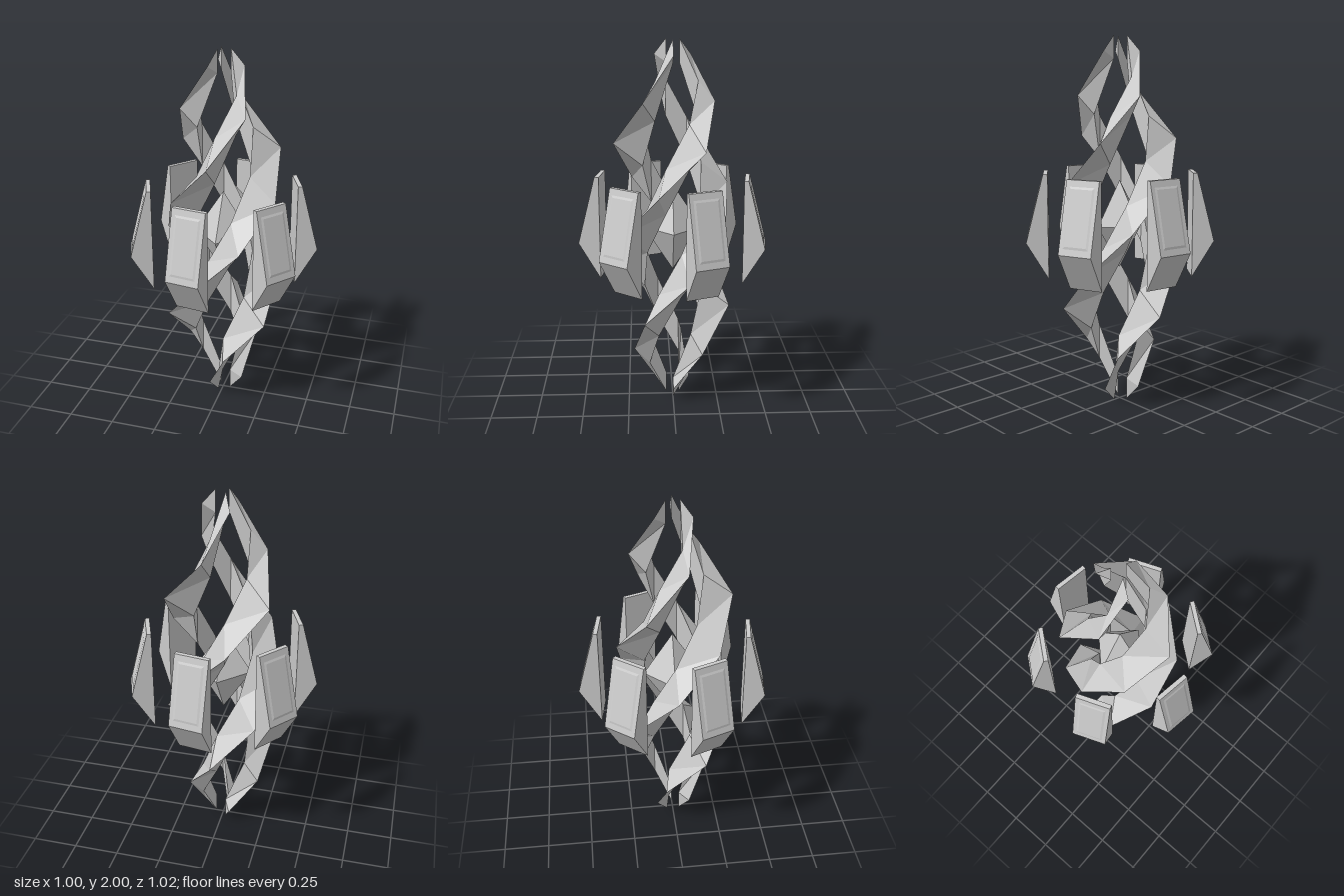
import * as THREE from 'three';

const rad = THREE.MathUtils.degToRad;

export function createModel() {
  const model = new THREE.Group();
  const mat = new THREE.MeshStandardMaterial({ color: 0xcccccc, flatShading: true });
  const add = (parent, name, geo) => {
    const mesh = new THREE.Mesh(geo, mat);
    mesh.name = name;
    parent.add(mesh);
    return mesh;
  };

  // Spiral strands: triangular sections, indexed by distance from mid height
  const outer = [0.315, 0.312, 0.315, 0.223, 0.11];
  const inner = [0.16, 0.16, 0.16, 0.135, 0.04];
  const toTip = [0.12, 0.12, 0.12, 0.1, 0.08];
  const toMid = [0.12, 0.12, 0.12, 0.1, 0.04];
  function strandGeometry() {
    const pos = [], idx = [];
    for (let k = -4; k <= 4; k++) {
      const m = Math.abs(k), a = rad(180 - 45 * k), y = 1 + 0.23 * k;
      const [up, down] = k < 0 ? [toMid[m], toTip[m]] : [toTip[m], toMid[m]];
      for (const [r, h] of [[outer[m], 0], [inner[m], up], [inner[m], -down]])
        pos.push(r * Math.cos(a), y + h, r * Math.sin(a));
    }
    for (let k = 0; k < 8; k++)
      for (let j = 0; j < 3; j++) {
        const a = k * 3 + j, b = k * 3 + (j + 1) % 3;
        idx.push(a, a + 3, b, a + 3, b + 3, b);
      }
    idx.push(0, 1, 2, 24, 26, 25); // end caps
    const geo = new THREE.BufferGeometry();
    geo.setAttribute('position', new THREE.Float32BufferAttribute(pos, 3));
    geo.setIndex(idx);
    const flat = geo.toNonIndexed();
    flat.computeVertexNormals();
    return flat;
  }
  const strand = strandGeometry();
  for (let i = 0; i < 3; i++) add(model, 'spiralStrand', strand).rotation.y = rad(120 * i);

  // Central crystal
  const core = add(model, 'coreCrystal', new THREE.OctahedronGeometry(0.155));
  core.scale.y = 1.55;
  core.position.y = 1;

  // Floating wedge panels, profile drawn as radius and height
  const profile = new THREE.Shape([[0.385, 0.72], [0.503, 0.917], [0.408, 1.285], [0.385, 1.285]]
    .map(([x, y]) => new THREE.Vector2(x, y)));
  const wedge = new THREE.ExtrudeGeometry(profile, { depth: 0.184, bevelEnabled: false });
  wedge.translate(0, 0, -0.092);

  // Very thin tapered plate on the sloping outer face
  const plate = new THREE.BoxGeometry(0.004, 0.32, 0.15);
  const p = plate.attributes.position;
  for (let i = 0; i < p.count; i++)
    if (p.getX(i) > 0) p.setXYZ(i, p.getX(i), p.getY(i) * 0.9, p.getZ(i) * 0.8);
  plate.computeVertexNormals();

  for (let i = 0; i < 6; i++) {
    const panel = new THREE.Group();
    panel.name = 'floatingPanel';
    add(panel, 'panelWedge', wedge);
    const face = add(panel, 'panelPlate', plate);
    face.position.set(0.4565, 1.101, 0);
    face.rotation.z = Math.atan2(0.095, 0.368);
    panel.rotation.y = -rad(38.7 + 60 * i);
    model.add(panel);
  }
  return model;
}
